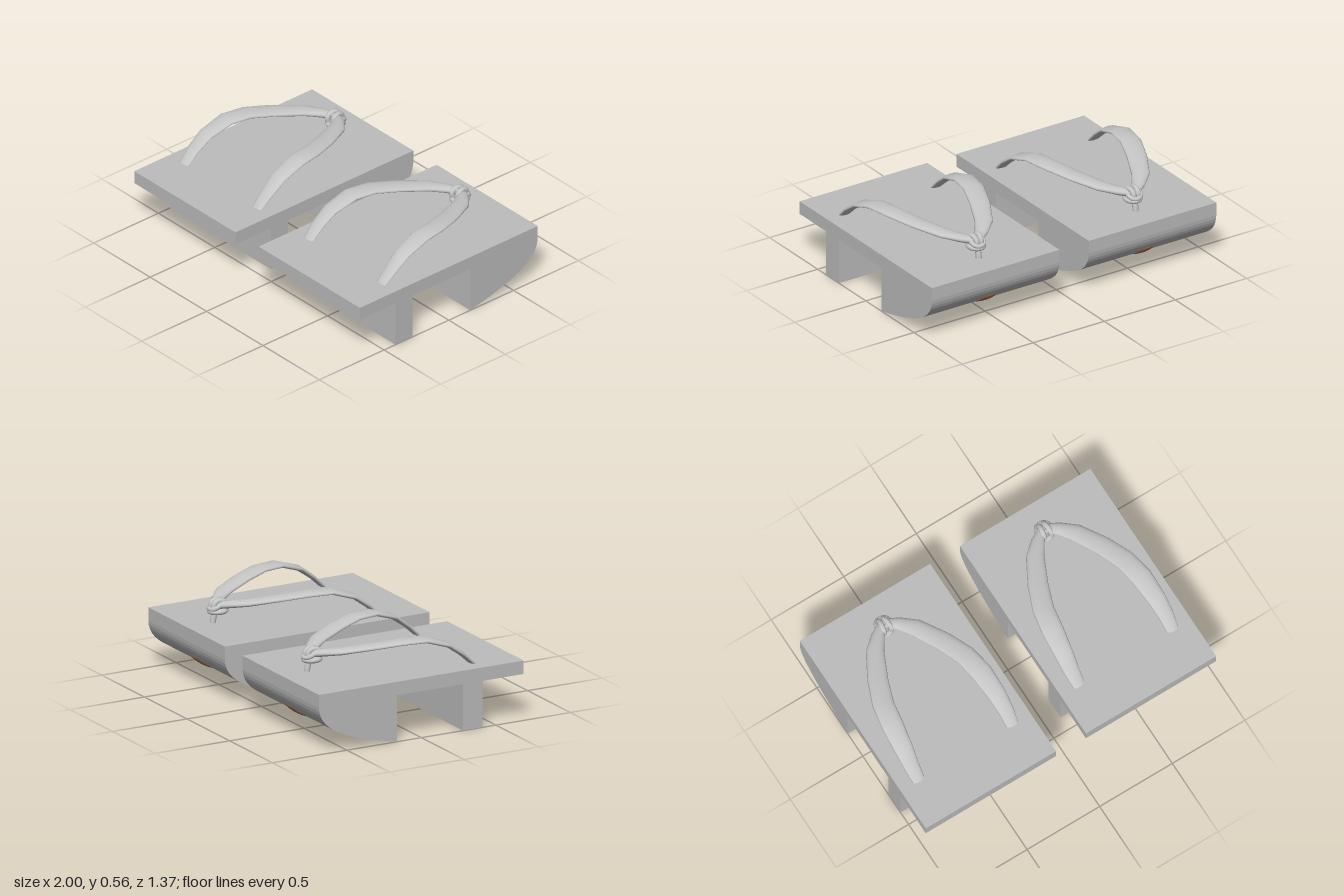
import * as THREE from 'three';

const wood = new THREE.MeshStandardMaterial({ color: 0xbcbcbc });
wood.name = 'wood grey';
const cloth = new THREE.MeshStandardMaterial({ color: 0xc6c6c6 });
cloth.name = 'cloth grey';
const copper = new THREE.MeshStandardMaterial({ color: 0xb8733f });
copper.name = 'copper';

const V = (x, y, z) => new THREE.Vector3(x, y, z);

function add(parent, name, geometry, material, x = 0, y = 0, z = 0) {
  const mesh = new THREE.Mesh(geometry, material);
  mesh.name = name;
  mesh.position.set(x, y, z);
  parent.add(mesh);
  return mesh;
}

// Flattened padded strap lofted through stations of [x, y, z, half width, half thickness]
function strapGeometry(stations, side, sides = 14) {
  const pts = stations.map(s => V(s[0] * side, s[1], s[2]));
  const pos = [], index = [];
  pts.forEach((p, i) => {
    const prev = pts[Math.max(i - 1, 0)], next = pts[Math.min(i + 1, pts.length - 1)];
    const t = next.clone().sub(prev).normalize();
    const across = V(0, 1, 0).cross(t).normalize();
    const up = t.clone().cross(across);
    for (let j = 0; j < sides; j++) {
      const a = j / sides * Math.PI * 2;
      const v = p.clone()
        .addScaledVector(across, Math.cos(a) * stations[i][3])
        .addScaledVector(up, Math.sin(a) * stations[i][4]);
      pos.push(v.x, v.y, v.z);
      if (i < pts.length - 1) {
        const k = (j + 1) % sides;
        const a0 = i * sides + j, b0 = i * sides + k;
        index.push(a0, b0, a0 + sides, b0, b0 + sides, a0 + sides);
      }
    }
  });
  const g = new THREE.BufferGeometry();
  g.setAttribute('position', new THREE.Float32BufferAttribute(pos, 3));
  g.setIndex(index);
  g.computeVertexNormals();
  return g;
}

const strapStations = [
  [0.005, 0.468, -0.49, 0.024, 0.022],
  [0.07, 0.484, -0.435, 0.04, 0.022],
  [0.14, 0.5, -0.355, 0.054, 0.02],
  [0.225, 0.526, -0.19, 0.061, 0.017],
  [0.283, 0.546, -0.04, 0.064, 0.016],
  [0.307, 0.547, 0.1, 0.065, 0.016],
  [0.32, 0.498, 0.245, 0.056, 0.016],
  [0.325, 0.428, 0.34, 0.047, 0.014],
  [0.322, 0.35, 0.422, 0.038, 0.012],
];

function createSandal() {
  const sandal = new THREE.Group();
  const W = 0.897;

  // Sole board and front tooth
  add(sandal, 'soleBoard', new THREE.BoxGeometry(W, 0.082, 1.374), wood, 0, 0.324, 0);
  add(sandal, 'frontTooth', new THREE.BoxGeometry(W, 0.283, 0.132), wood, 0, 0.1415, 0.346);

  // Heel block with rounded underside, profile drawn in (-z, y)
  const profile = new THREE.Shape();
  profile.moveTo(0.165, 0.283);
  profile.lineTo(0.165, 0);
  profile.bezierCurveTo(0.44, 0.06, 0.68, 0.12, 0.687, 0.283);
  profile.closePath();
  const heel = new THREE.ExtrudeGeometry(profile, { depth: W, bevelEnabled: false, curveSegments: 20 });
  heel.rotateY(Math.PI / 2);
  add(sandal, 'heelBlock', heel, wood, -W / 2, 0, 0);

  // Domed copper cap under the heel
  const cap = add(sandal, 'knotCap', new THREE.SphereGeometry(1, 24, 14), copper, 0, 0.14, -0.57);
  cap.scale.set(0.068, 0.022, 0.088);
  cap.rotation.x = 0.54;

  // The two straps
  for (const side of [-1, 1]) {
    add(sandal, side > 0 ? 'leftStrap' : 'rightStrap', strapGeometry(strapStations, side), cloth);
  }

  // Knot: toe post, two upright loops and one lying ring
  const knot = new THREE.Group();
  knot.name = 'toeKnot';
  sandal.add(knot);
  const post = new THREE.CatmullRomCurve3([V(0, 0.35, -0.513), V(0, 0.4, -0.505), V(0, 0.46, -0.485)]);
  add(knot, 'toePost', new THREE.TubeGeometry(post, 8, 0.018, 10), cloth);
  for (const side of [-1, 1]) {
    const loop = add(knot, 'knotLoop', new THREE.TorusGeometry(0.033, 0.016, 10, 20), cloth, side * 0.02, 0.466, -0.475);
    loop.rotation.y = Math.PI / 2 + side * 0.12;
    loop.scale.x = 1.15;
  }
  const ring = add(knot, 'knotRing', new THREE.TorusGeometry(0.042, 0.015, 10, 24), cloth, 0, 0.434, -0.478);
  ring.rotation.x = Math.PI / 2;
  ring.scale.y = 1.15;
  const backLoop = add(knot, 'knotBackLoop', new THREE.TorusGeometry(0.04, 0.014, 10, 24), cloth, 0, 0.468, -0.495);
  backLoop.rotation.x = Math.PI / 2 - 0.5;

  // Bundle of cords under the board, spread at both ends
  const cords = new THREE.Group();
  cords.name = 'cordBundle';
  sandal.add(cords);
  for (let i = 0; i < 4; i++) {
    const a = i * Math.PI / 2 + 0.7;
    const path = [-0.34, -0.27, -0.1, 0.08, 0.22, 0.305].map((x, k) => {
      const spread = [0.024, 0.018, 0.012, 0.01, 0.016, 0.024][k];
      return V(x, 0.25 + Math.sin(a + k * 0.35) * spread, 0.448 + Math.cos(a + k * 0.35) * spread);
    });
    add(cords, 'cord', new THREE.TubeGeometry(new THREE.CatmullRomCurve3(path), 24, 0.009, 8), cloth);
  }
  // Strap ends passing through the board down to the cords
  for (const side of [-1, 1]) {
    const end = new THREE.CatmullRomCurve3([V(side * 0.32, 0.3, 0.43), V(side * 0.315, 0.27, 0.438), V(side * 0.295, 0.252, 0.448)]);
    add(cords, 'strapEnd', new THREE.TubeGeometry(end, 8, 0.011, 8), cloth);
  }
  const clasp = add(sandal, 'copperRing', new THREE.TorusGeometry(0.03, 0.008, 10, 24), copper, -0.295, 0.252, 0.448);
  clasp.rotation.set(0, Math.PI / 2, 0.12, 'ZYX');

  return sandal;
}

export function createModel() {
  const model = new THREE.Group();
  model.name = 'pairOfSandals';
  for (const side of [-1, 1]) {
    const sandal = createSandal();
    sandal.name = side > 0 ? 'leftSandal' : 'rightSandal';
    sandal.position.x = side * 0.5515;
    model.add(sandal);
  }
  return model;
}
